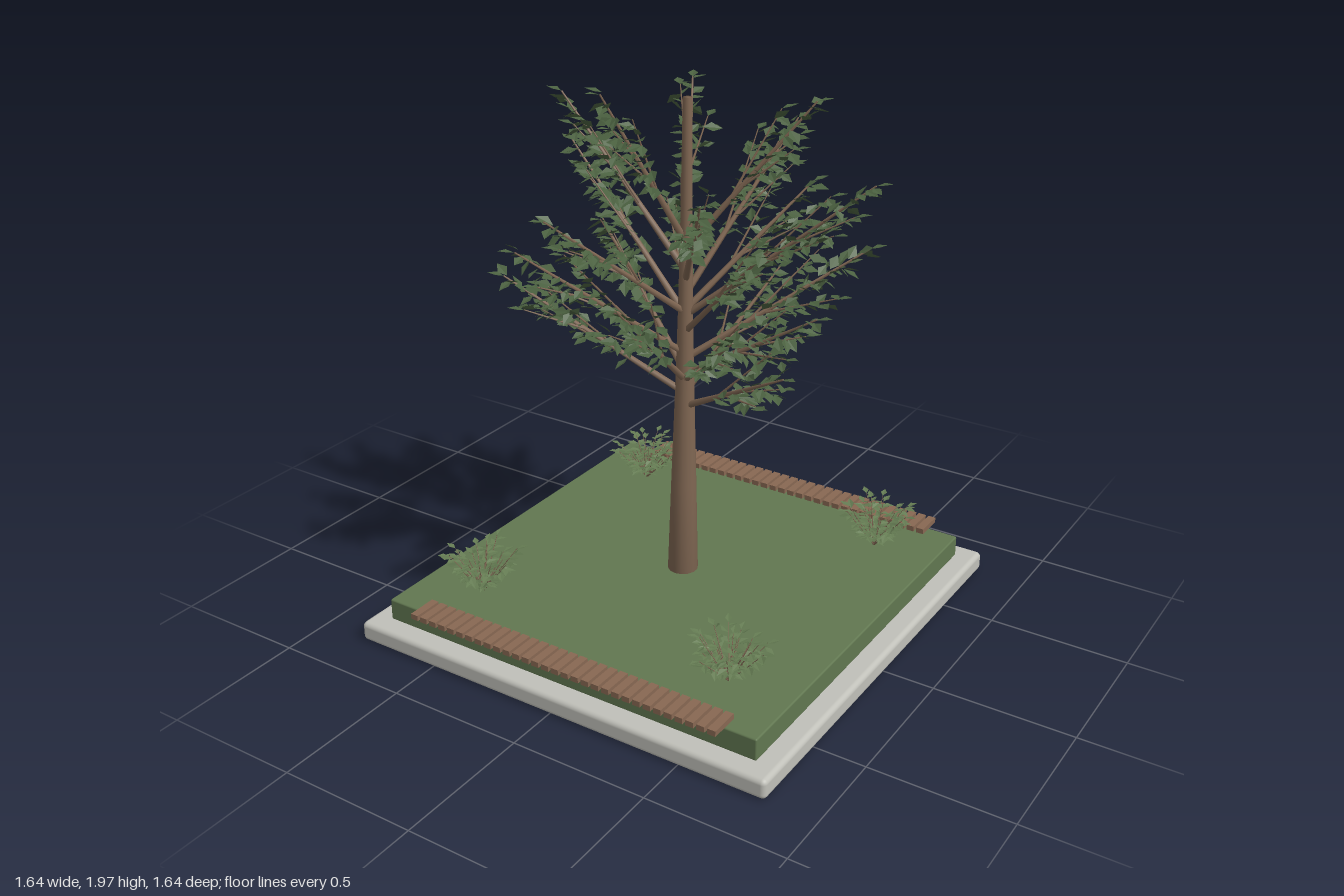
import * as THREE from 'three';
import { mergeGeometries } from 'three/addons/utils/BufferGeometryUtils.js';
import { RoundedBoxGeometry } from 'three/addons/geometries/RoundedBoxGeometry.js';

const V = (x, y, z) => new THREE.Vector3(x, y, z);
const UP = V(0, 1, 0);

// Small seeded random source, returns -1..1
function makeRandom(seed) {
  return () => {
    seed = (seed * 16807) % 2147483647;
    return (seed / 2147483647) * 2 - 1;
  };
}

// Tapered round limb between two points
function limb(a, b, r0, r1, sides = 6) {
  const d = b.clone().sub(a);
  const g = new THREE.CylinderGeometry(r1, r0, d.length(), sides);
  g.applyQuaternion(new THREE.Quaternion().setFromUnitVectors(UP, d.clone().normalize()));
  const m = a.clone().add(b).multiplyScalar(0.5);
  return g.translate(m.x, m.y, m.z);
}

// Pointed leaf along +z, folded slightly on its midrib
function leafShape(length, width) {
  const g = new THREE.BufferGeometry();
  const w = width / 2, s = length * 0.45, h = width * 0.1;
  g.setAttribute('position', new THREE.Float32BufferAttribute([
    0, 0, 0, 0, 0, length, w, h, s,
    0, 0, 0, -w, h, s, 0, 0, length,
  ], 3));
  g.computeVertexNormals();
  return g;
}

// Leaf set at a point, growing along dir with its upper face towards normal
function placeLeaf(shape, point, dir, normal, scale) {
  const z = dir.clone().normalize();
  const x = normal.clone().cross(z).normalize();
  const y = z.clone().cross(x);
  const m = new THREE.Matrix4().makeBasis(x, y, z);
  m.scale(V(scale, scale, scale)).setPosition(point);
  return shape.clone().applyMatrix4(m);
}

// Pairs of leaves along a twig, spread above and below it, with one at its tip
function leafRow(out, shape, a, b, from, step, rnd, jitter, spread) {
  const dir = b.clone().sub(a);
  const n = Math.max(2, Math.round((dir.length() * (1 - from)) / step));
  const ahead = V(dir.x, 0, dir.z).normalize();
  const side = ahead.clone().cross(UP);
  for (let i = 0; i < n; i++) {
    for (const s of [-1, 1]) {
      const p = a.clone().lerp(b, from + ((1 - from) * (i + (s > 0 ? 0.5 : 0))) / n);
      p.y += spread * rnd();
      const d = ahead.clone().multiplyScalar(0.7 + 0.2 * rnd()).addScaledVector(side, s * 0.7)
        .addScaledVector(UP, rnd() * jitter);
      const normal = UP.clone().add(V(rnd(), 0, rnd()).multiplyScalar(jitter));
      out.push(placeLeaf(shape, p, d, normal, 0.95 + 0.15 * rnd()));
    }
  }
  out.push(placeLeaf(shape, b, ahead.addScaledVector(UP, 0.2), UP, 0.9));
}

// Tip x, y, z and height of the fork on the trunk
const BRANCHES = [
  [0.47, 1.06, 0.14, 0.80], [-0.54, 1.26, 0.29, 0.85], [0.12, 1.20, -0.45, 0.85],
  [0.10, 1.35, 0.54, 0.90], [-0.51, 1.32, -0.25, 0.93], [0.52, 1.37, -0.35, 0.98],
  [-0.35, 1.43, 0.46, 1.00], [-0.30, 1.48, -0.45, 1.03], [0.48, 1.54, 0.27, 1.08],
  [-0.54, 1.64, -0.12, 1.14], [0.63, 1.66, -0.14, 1.14], [-0.18, 1.58, 0.52, 1.15],
  [0.16, 1.74, -0.48, 1.22], [0.31, 1.68, 0.39, 1.27], [-0.43, 1.87, 0.08, 1.30],
  [0.39, 1.89, -0.18, 1.38], [-0.10, 1.95, 0.32, 1.40], [-0.15, 1.88, -0.29, 1.40],
  [0.40, 1.24, 0.34, 0.90], [0.28, 1.56, -0.38, 1.16], [0.50, 1.22, -0.02, 0.92],
];
// Side twigs: place along the branch, turn, rise and length
const TWIGS = [[0.34, 0.3, 0.08, 0.42], [0.42, -0.3, -0.07, 0.42], [0.55, 0.2, -0.05, 0.34]];

export function createModel() {
  const model = new THREE.Group();
  const mat = (name, color, double) => {
    const m = new THREE.MeshStandardMaterial({ color });
    m.name = name;
    if (double) m.side = THREE.DoubleSide;
    return m;
  };
  const stone = mat('stone', 0xc0c0b9);
  const grass = mat('grass', 0x617750);
  const bark = mat('bark', 0x7f6652);
  const plank = mat('plank', 0x886852);
  const leafGreen = mat('leafGreen', 0x4b6140, true);
  const bushGreen = mat('bushGreen', 0x647b52, true);
  const add = (name, geometry, material, parent = model) => {
    const mesh = new THREE.Mesh(geometry, material);
    mesh.name = name;
    parent.add(mesh);
    return mesh;
  };

  // Ground: stone slab under a lawn
  add('stoneSlab', new RoundedBoxGeometry(1.64, 0.072, 1.64, 3, 0.018), stone).position.y = 0.036;
  add('lawn', new RoundedBoxGeometry(1.49, 0.08, 1.49, 2, 0.006), grass).position.y = 0.111;

  // Two rows of wooden slats along the front and back edges
  for (const s of [1, -1]) {
    const row = new THREE.Group();
    row.name = s > 0 ? 'frontSlats' : 'backSlats';
    for (let i = 0; i < 31; i++) {
      add('slat', new THREE.BoxGeometry(0.029, 0.02, 0.11), plank, row)
        .position.set(-0.584 + i * 0.04, 0.161, s * 0.745);
    }
    model.add(row);
  }

  // Trunk: tapered and leaning slightly
  const tree = new THREE.Group();
  tree.name = 'tree';
  model.add(tree);
  const lean = (y) => V(-0.003 + 0.025 * ((y - 0.15) / 1.75), y, 0.01 * ((y - 0.15) / 1.75));
  const profile = [[0, 0.14], [0.055, 0.14], [0.045, 0.5], [0.035, 0.82], [0.026, 1.15],
    [0.02, 1.5], [0.016, 1.895], [0, 1.895]].map(([r, y]) => new THREE.Vector2(r, y));
  const trunk = new THREE.LatheGeometry(profile, 14);
  const pos = trunk.attributes.position;
  for (let i = 0; i < pos.count; i++) {
    const c = lean(pos.getY(i));
    pos.setXYZ(i, pos.getX(i) + c.x, pos.getY(i), pos.getZ(i) + c.z);
  }
  add('trunk', trunk, bark, tree);

  // Branches, each with side twigs and rows of leaves
  const rnd = makeRandom(4217);
  const wood = [], leaves = [];
  const leaf = leafShape(0.064, 0.04);
  for (const [x, y, z, fork] of BRANCHES) {
    const a = lean(fork), b = V(x, y, z);
    const d = b.clone().sub(a);
    wood.push(limb(a, b, 0.013, 0.003));
    leafRow(leaves, leaf, a, b, 0.32, 0.03, rnd, 0.7, 0.02);
    for (const [t, turn, rise, size] of TWIGS) {
      const p = a.clone().lerp(b, t);
      const e = d.clone().applyAxisAngle(UP, turn + 0.15 * rnd()).multiplyScalar(size).add(p);
      e.y += rise + 0.03 * rnd();
      wood.push(limb(p, e, 0.005, 0.002, 5));
      leafRow(leaves, leaf, p, e, 0.3, 0.036, rnd, 0.7, 0.02);
    }
  }
  add('branches', mergeGeometries(wood), bark, tree);
  add('treeLeaves', mergeGeometries(leaves), leafGreen, tree);

  // Four corner bushes: stems fanning out of one root, the outer ones lower
  const bushLeaf = leafShape(0.046, 0.026);
  for (const sx of [-1, 1]) for (const sz of [-1, 1]) {
    const bush = new THREE.Group();
    bush.name = 'bush';
    bush.position.set(sx * 0.51, 0.15, sz * 0.52);
    const stems = [], foliage = [];
    for (let i = 0; i < 22; i++) {
      const angle = i * 2.4 + 0.2 * rnd();
      const reach = 0.135 * Math.sqrt((i + 0.5) / 22) + 0.012 * rnd();
      const a = V(0, 0, 0);
      const b = V(Math.cos(angle) * reach, 0.14 + 0.028 * rnd(), Math.sin(angle) * reach);
      stems.push(limb(a, b, 0.003, 0.001, 5));
      leafRow(foliage, bushLeaf, a, b, 0.3, 0.032, rnd, 0.35, 0.008);
    }
    add('bushStems', mergeGeometries(stems), bark, bush);
    add('bushLeaves', mergeGeometries(foliage), bushGreen, bush);
    model.add(bush);
  }
  return model;
}
